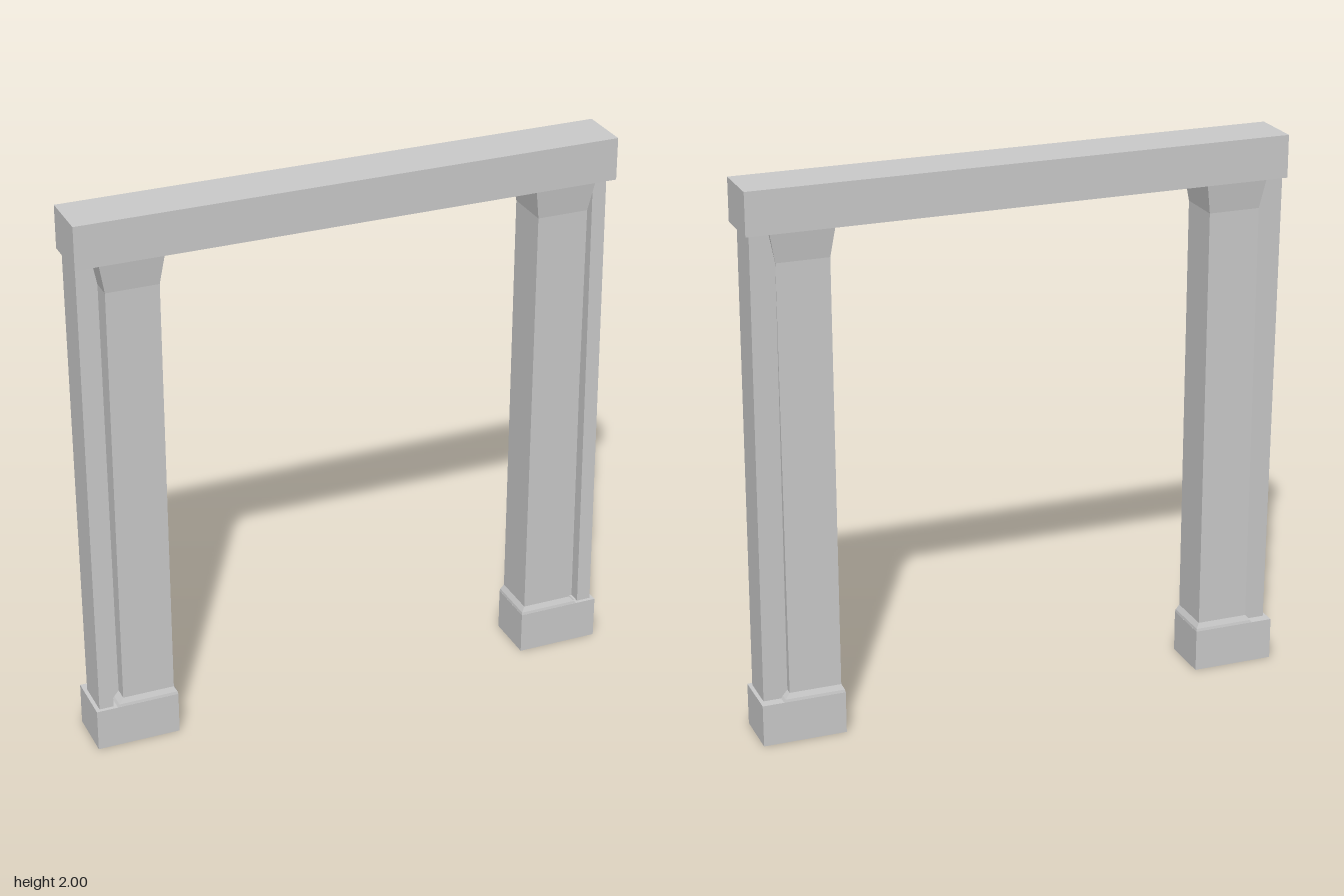
import * as THREE from 'three';

const material = new THREE.MeshStandardMaterial({ color: 0xcccccc, flatShading: true });

function box(name, x0, x1, y0, y1, z0, z1) {
  const mesh = new THREE.Mesh(new THREE.BoxGeometry(x1 - x0, y1 - y0, z1 - z0), material);
  mesh.position.set((x0 + x1) / 2, (y0 + y1) / 2, (z0 + z1) / 2);
  mesh.name = name;
  return mesh;
}

// Closed solid through rectangles [y, x0, x1, halfDepth], listed bottom to top
function loftRects(name, sections) {
  const pos = [], index = [];
  for (const [y, x0, x1, d] of sections) pos.push(x0, y, d, x1, y, d, x1, y, -d, x0, y, -d);
  for (let i = 0; i < sections.length - 1; i++) {
    for (let j = 0; j < 4; j++) {
      const a = i * 4 + j, b = i * 4 + (j + 1) % 4;
      index.push(a, b, b + 4, a, b + 4, a + 4);
    }
  }
  const t = (sections.length - 1) * 4;
  index.push(0, 2, 1, 0, 3, 2, t, t + 1, t + 2, t, t + 2, t + 3);
  const geo = new THREE.BufferGeometry();
  geo.setAttribute('position', new THREE.Float32BufferAttribute(pos, 3));
  geo.setIndex(index);
  const flat = geo.toNonIndexed();
  flat.computeVertexNormals();
  const mesh = new THREE.Mesh(flat, material);
  mesh.name = name;
  return mesh;
}

// Outer strip with a groove along its front, leaning back towards the top
function outerStrip(side) {
  const y0 = 0.15, y1 = 1.85, front = 0.081, back = -0.058, lean = -0.028;
  const outline = [[0.86, back], [0.963, back], [0.963, front], [0.911, front],
    [0.911, front - 0.045], [0.86, front - 0.045]];
  const shape = new THREE.Shape(outline.map(([x, z]) => new THREE.Vector2(side * x, -z)));
  const geo = new THREE.ExtrudeGeometry(shape, { depth: y1 - y0, bevelEnabled: false });
  geo.rotateX(-Math.PI / 2);
  const p = geo.attributes.position;
  for (let i = 0; i < p.count; i++) p.setZ(i, p.getZ(i) + lean * p.getY(i) / (y1 - y0));
  geo.translate(0, y0, 0);
  geo.computeVertexNormals();
  const mesh = new THREE.Mesh(geo, material);
  mesh.name = 'outerStrip';
  return mesh;
}

function createPost(side) {
  const post = new THREE.Group();
  post.name = side > 0 ? 'leftPost' : 'rightPost';
  const span = (a, b) => (side > 0 ? [a, b] : [-b, -a]);
  // Foot block
  post.add(box('foot', ...span(0.675, 0.977), 0, 0.155, -0.095, 0.095));
  // Main shaft, flared into the foot and the lintel
  post.add(loftRects('shaft', [
    [0.154, ...span(0.675, 0.9), 0.095],
    [0.165, ...span(0.677, 0.893), 0.093],
    [0.185, ...span(0.688, 0.876), 0.086],
    [1.745, ...span(0.688, 0.876), 0.086],
    [1.848, ...span(0.672, 0.896), 0.098],
  ]));
  post.add(outerStrip(side));
  return post;
}

export function createModel() {
  const frame = new THREE.Group();
  frame.name = 'doorFrame';
  frame.add(box('lintel', -0.977, 0.977, 1.847, 2, -0.098, 0.098));
  for (const side of [1, -1]) frame.add(createPost(side));
  return frame;
}
